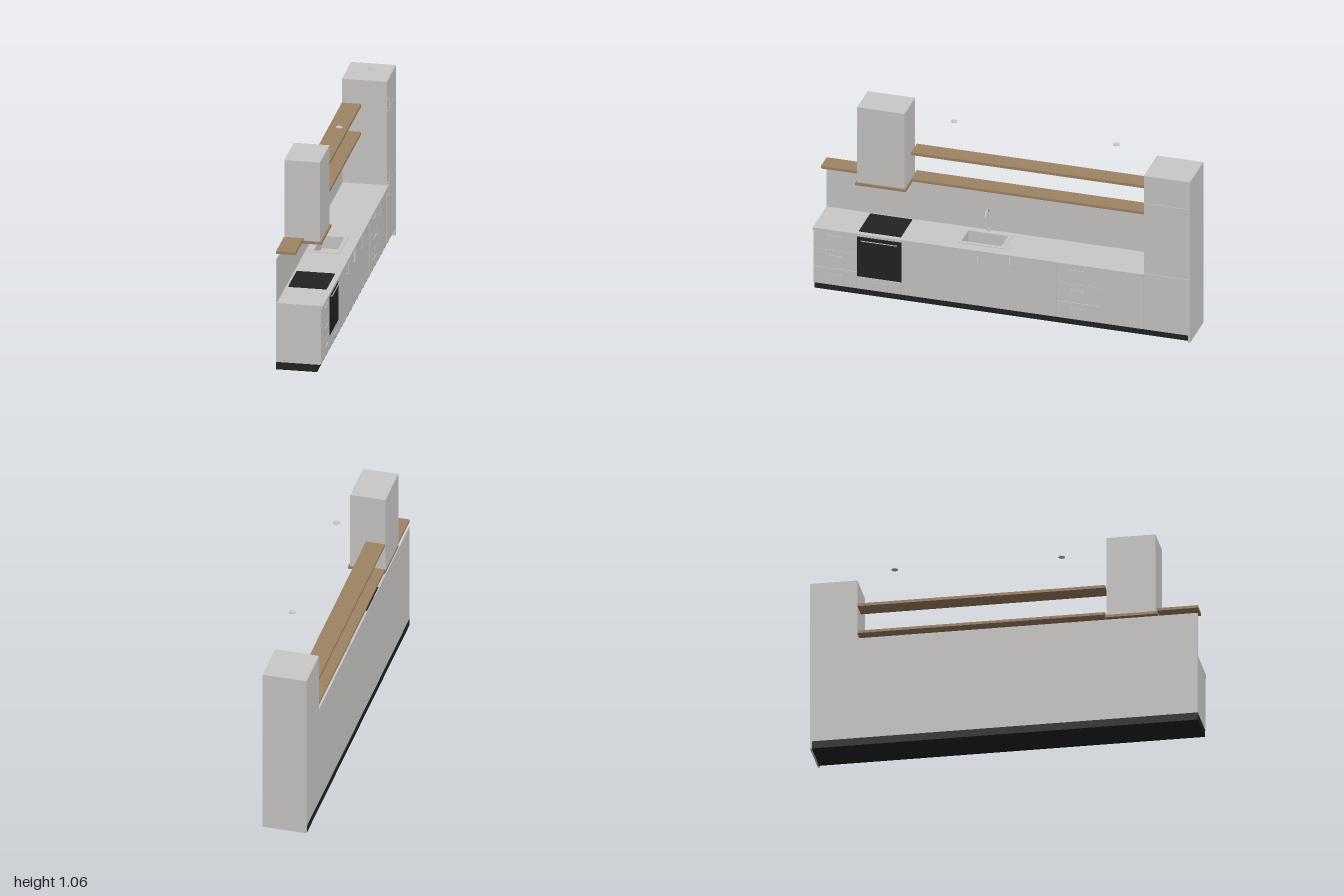
import * as THREE from 'three';

const mat = (name, color) => {
  const m = new THREE.MeshStandardMaterial({ color });
  m.name = name;
  return m;
};

export function createModel() {
  const group = new THREE.Group();
  const grey = mat('light grey', 0xcac9c7);
  const wood = mat('wood', 0xa08464);
  const black = mat('black', 0x222222);
  const BACK = -0.122, FRONT = 0.11, CARCASS = 0.104;

  const add = (name, geo, material) => {
    const m = new THREE.Mesh(geo, material);
    m.name = name;
    group.add(m);
    return m;
  };
  // box given by its limits on each axis
  const box = (name, material, x0, x1, y0, y1, z0, z1) => {
    const m = add(name, new THREE.BoxGeometry(x1 - x0, y1 - y0, z1 - z0), material);
    m.position.set((x0 + x1) / 2, (y0 + y1) / 2, (z0 + z1) / 2);
    return m;
  };
  // front panel with a narrow shadow gap all round
  const panel = (name, y0, y1, z0, z1, material = grey) =>
    box(name, material, CARCASS, FRONT, y0 + 0.001, y1 - 0.001, z0 + 0.0015, z1 - 0.0015);
  // bar handle on two short posts
  const handle = (y0, y1, z0, z1) => {
    box('handleBar', grey, 0.117, 0.12, y0, y1, z0, z1);
    const vertical = y1 - y0 > z1 - z0;
    for (const end of [0, 1]) {
      const y = vertical ? (end ? y1 - 0.003 : y0) : y0;
      const z = vertical ? z0 : (end ? z1 - 0.003 : z0);
      box('handlePost', grey, FRONT, 0.117, y, y + 0.003, z, z + 0.003);
    }
  };
  const pull = (z) => handle(0.28, 0.343, z - 0.0015, z + 0.0015);

  // plinth and base carcasses, lower under the sink
  box('plinth', black, BACK, 0.09, 0, 0.04, -0.99, 1);
  box('baseLeft', grey, BACK, CARCASS, 0.04, 0.345, 0.3, 1);
  box('baseSink', grey, BACK, CARCASS, 0.04, 0.29, -0.04, 0.3);
  box('baseRight', grey, BACK, CARCASS, 0.04, 0.345, -0.755, -0.04);
  box('sinkCabinetBack', grey, BACK, BACK + 0.006, 0.29, 0.345, -0.04, 0.3);

  // drawer banks
  for (const [z0, z1] of [[0.768, 1], [-0.52, -0.29]]) {
    const c = z0 < 0 ? -0.402 : 0.887;
    [[0.04, 0.135, 0.105], [0.135, 0.24, 0.212], [0.24, 0.345, 0.324]].forEach(([y0, y1, y]) => {
      panel('drawerFront', y0, y1, z0, z1);
      handle(y - 0.0015, y + 0.0015, c - 0.036, c + 0.036);
    });
  }

  // base doors
  for (const [z0, z1, h] of [[0.3, 0.532, 0.316], [0.13, 0.3, 0.148], [-0.04, 0.13, 0.114],
    [-0.29, -0.04, -0.056], [-0.755, -0.52, -0.54]]) {
    panel('baseDoor', 0.04, 0.345, z0, z1);
    pull(h);
  }

  // oven with drawer below
  panel('ovenDoor', 0.11, 0.345, 0.532, 0.768, black);
  handle(0.318, 0.322, 0.555, 0.745);
  panel('ovenDrawer', 0.04, 0.11, 0.532, 0.768);
  handle(0.088, 0.091, 0.613, 0.687);

  // worktop with sink cutout; shape drawn as (x, -z)
  const rect = (P, x0, x1, z0, z1) => {
    const p = new P();
    p.moveTo(x0, -z1);
    p.lineTo(x1, -z1);
    p.lineTo(x1, -z0);
    p.lineTo(x0, -z0);
    p.closePath();
    return p;
  };
  const slab = (name, outer, inner, y, depth) => {
    const s = rect(THREE.Shape, ...outer);
    s.holes.push(rect(THREE.Path, ...inner));
    const m = add(name, new THREE.ExtrudeGeometry(s, { depth, bevelEnabled: false }), grey);
    m.rotation.x = -Math.PI / 2;
    m.position.y = y;
  };
  const basin = [-0.075, 0.042, 0.022, 0.233];
  slab('worktop', [BACK, 0.12, -0.755, 1], basin, 0.345, 0.015);
  slab('sinkRim', [-0.095, 0.062, 0, 0.255], basin, 0.36, 0.003);
  slab('sinkWalls', [-0.079, 0.046, 0.018, 0.237], basin, 0.295, 0.05);
  box('sinkFloor', grey, -0.079, 0.046, 0.291, 0.296, 0.018, 0.237);

  // hob
  box('hob', black, -0.105, 0.093, 0.36, 0.364, 0.54, 0.763);

  // tap
  const tapPath = new THREE.CurvePath();
  const v = (x, y) => new THREE.Vector3(x, y, 0.132);
  const arc = [];
  for (let i = 0; i <= 12; i++) {
    const a = Math.PI * (1 - i / 12);
    arc.push(v(-0.069 + 0.035 * Math.cos(a), 0.465 + 0.035 * Math.sin(a)));
  }
  tapPath.add(new THREE.LineCurve3(v(-0.104, 0.36), arc[0]));
  tapPath.add(new THREE.CatmullRomCurve3(arc));
  tapPath.add(new THREE.LineCurve3(arc[12], v(-0.034, 0.452)));
  add('tapSpout', new THREE.TubeGeometry(tapPath, 48, 0.004, 10, false), grey);
  const tapBase = add('tapBase', new THREE.CylinderGeometry(0.008, 0.009, 0.016, 16), grey);
  tapBase.position.set(-0.104, 0.368, 0.132);
  const tapEnd = add('tapEnd', new THREE.CylinderGeometry(0.004, 0.004, 0.002, 10), grey);
  tapEnd.position.set(-0.034, 0.452, 0.132);

  // splashback
  box('splashback', grey, BACK, BACK + 0.004, 0.36, 0.598, -0.755, 1);

  // tall cabinet with end panel to the floor
  box('tallCabinet', grey, BACK, CARCASS, 0.04, 0.922, -0.99, -0.755);
  box('tallEndPanel', grey, BACK, FRONT, 0, 0.922, -1, -0.99);
  for (const [y0, y1] of [[0.04, 0.362], [0.362, 0.765], [0.765, 0.922]]) {
    panel('tallDoor', y0, y1, -0.99, -0.755);
  }
  for (const [y0, y1] of [[0.298, 0.358], [0.366, 0.428], [0.758, 0.826]]) {
    handle(y0, y1, -0.777, -0.774);
  }

  // extractor hood on its wooden base
  box('hoodBody', grey, BACK, 0.063, 0.625, 1.055, 0.53, 0.782);
  box('hoodBase', wood, BACK, 0.072, 0.611, 0.625, 0.522, 0.789);

  // wall shelves
  box('lowerShelf', wood, BACK, -0.022, 0.627, 0.641, -0.755, 0.521);
  box('lowerShelfShort', wood, BACK, -0.022, 0.627, 0.641, 0.79, 1);
  box('upperShelf', wood, BACK, -0.022, 0.778, 0.793, -0.755, 0.521);

  // ceiling spotlights
  for (const z of [0.266, -0.595]) {
    const lamp = add('spotlight', new THREE.CylinderGeometry(0.017, 0.017, 0.003, 24), grey);
    lamp.position.set(0.063, 1.0545, z);
  }
  return group;
}
